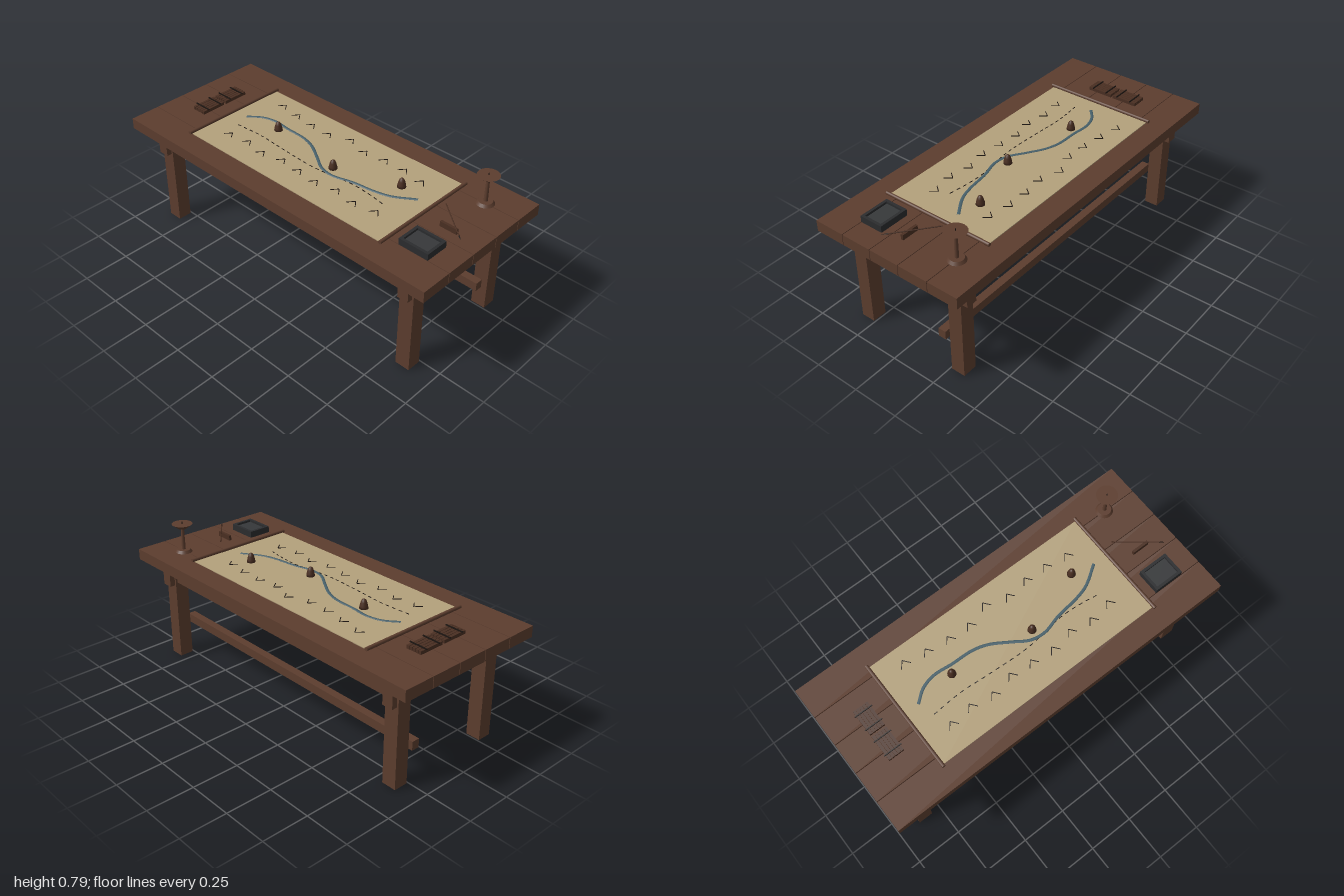
import * as THREE from 'three';

const mat = (name, color) => {
  const m = new THREE.MeshStandardMaterial({ color });
  m.name = name;
  return m;
};

export function createModel() {
  const root = new THREE.Group();
  root.name = 'mapTable';
  const wood = mat('wood', 0x5c3d2e);
  const darkWood = mat('darkWood', 0x4a2f22);
  const parchment = mat('parchment', 0xb3a17c);
  const ink = mat('ink', 0x1c1511);
  const water = mat('water', 0x47606a);
  const stone = mat('stone', 0x2b2c2e);
  const inkPool = mat('inkPool', 0x36383a);

  const add = (name, geo, material, x = 0, y = 0, z = 0, parent = root) => {
    const m = new THREE.Mesh(geo, material);
    m.name = name;
    m.position.set(x, y, z);
    parent.add(m);
    return m;
  };
  const box = (name, w, h, d, material, x, y, z, parent) =>
    add(name, new THREE.BoxGeometry(w, h, d), material, x, y, z, parent);
  const group = (name) => {
    const g = new THREE.Group();
    g.name = name;
    root.add(g);
    return g;
  };
  const lathe = (points, sides) =>
    new THREE.LatheGeometry(points.map(([r, y]) => new THREE.Vector2(r, y)), sides);
  // flat bar lying on the map between two points in x, z
  const stroke = (name, x1, z1, x2, z2, width, y, parent) => {
    const b = box(name, Math.hypot(x2 - x1, z2 - z1), 0.002, width, ink, (x1 + x2) / 2, y, (z1 + z2) / 2, parent);
    b.rotation.y = -Math.atan2(z2 - z1, x2 - x1);
  };

  // table top of five planks with narrow gaps
  const top = group('tableTop');
  for (let i = -2; i <= 2; i++) box('plank', 2, 0.06, 0.1685, wood, 0, 0.59, i * 0.172, top);

  // frame
  const frame = group('frame');
  for (const sx of [-1, 1]) {
    box('endRail', 0.06, 0.123, 0.73, wood, sx * 0.84, 0.4985, 0, frame);
    for (const sz of [-1, 1]) box('leg', 0.08, 0.56, 0.077, wood, sx * 0.84, 0.28, sz * 0.297, frame);
  }
  for (const sz of [-1, 1]) box('longApron', 1.62, 0.105, 0.05, wood, 0, 0.5075, sz * 0.3, frame);
  box('stretcher', 1.74, 0.048, 0.043, wood, 0, 0.181, -0.199, frame);

  // map sheet with a roller at each end
  box('mapSheet', 1.3, 0.004, 0.61, parchment, 0, 0.622, 0);
  for (const sx of [-1, 1]) {
    const r = add('mapRoller', new THREE.CylinderGeometry(0.0095, 0.0095, 0.634, 10), wood, sx * 0.655, 0.63, 0);
    r.rotation.x = Math.PI / 2;
  }

  // river
  const riverPoints = [
    [-0.57, -0.005], [-0.5, -0.058], [-0.42, -0.078], [-0.32, -0.07], [-0.2, -0.065], [-0.12, -0.042], [-0.02, 0.018],
    [0.06, 0.068], [0.14, 0.08], [0.25, 0.053], [0.38, 0.035], [0.46, 0.012], [0.57, -0.058],
  ];
  const riverCurve = new THREE.CatmullRomCurve3(riverPoints.map(([x, z]) => new THREE.Vector3(x, 0, z)));
  const river = add('river', new THREE.TubeGeometry(riverCurve, 70, 0.009, 6), water, 0, 0.624, 0);
  river.scale.y = 0.35;

  // mountain marks in two rows
  const marks = group('mountainMarks');
  const rows = [
    [-0.22, -0.2, -0.185, -0.18, -0.22, -0.185, -0.2, -0.2, -0.18],
    [0.172, 0.158, 0.178, 0.153, 0.163, 0.175, 0.153, 0.172, 0.153],
  ];
  for (const row of rows) {
    row.forEach((z, i) => {
      const x = (i - 4) * 0.124 - 0.005;
      for (const s of [-1, 1]) stroke('mountainStroke', x, z - 0.015, x + s * 0.028, z + 0.02, 0.004, 0.6248, marks);
    });
  }

  // dashed road
  const road = group('road');
  const roadCurve = new THREE.CatmullRomCurve3(
    [[-0.54, 0.082], [-0.38, 0.072], [-0.2, 0.083], [0, 0.092], [0.12, 0.083], [0.25, 0.065], [0.37, 0.07], [0.49, 0.087]]
      .map(([x, z]) => new THREE.Vector3(x, 0, z)));
  for (let i = 0; i < 25; i++) {
    const a = roadCurve.getPointAt(i / 25), b = roadCurve.getPointAt((i + 0.5) / 25);
    stroke('roadDash', a.x, a.z, b.x, b.z, 0.004, 0.6248, road);
  }

  // bell-shaped map markers
  const bell = lathe([[0, 0], [0.023, 0], [0.021, 0.014], [0.016, 0.034], [0.012, 0.044], [0.006, 0.05], [0, 0.052]], 14);
  for (const [x, z] of [[-0.35, -0.03], [0.1, 0.03], [0.445, -0.085]]) add('mapMarker', bell, darkWood, x, 0.623, z);

  // lamp stand: foot, stem, flared dish, wick
  const lamp = group('lamp');
  lamp.position.set(0.81, 0.62, -0.262);
  const foot = add('lampFoot', new THREE.CylinderGeometry(0.036, 0.046, 0.015, 20), wood, 0, 0.0075, 0, lamp);
  foot.material = wood;
  add('lampStem', new THREE.CylinderGeometry(0.0085, 0.0105, 0.122, 12), wood, 0, 0.074, 0, lamp);
  add('lampDish', new THREE.CylinderGeometry(0.056, 0.022, 0.026, 20), wood, 0, 0.147, 0, lamp);
  add('lampWick', new THREE.CylinderGeometry(0.0025, 0.0025, 0.012, 6), ink, 0, 0.165, 0, lamp);

  // brush lying across its rest
  box('brushRest', 0.095, 0.028, 0.014, darkWood, 0.812, 0.634, 0.02);
  const brush = group('brush');
  brush.position.set(0.806, 0.658, -0.01);
  brush.rotation.y = -Math.atan2(0.17, 0.215);
  const rod = add('brushHandle', new THREE.CylinderGeometry(0.003, 0.003, 0.25, 8), darkWood, 0, 0, 0, brush);
  rod.rotation.z = Math.PI / 2;
  const tip = add('brushTip', new THREE.ConeGeometry(0.004, 0.03, 8), ink, 0.135, 0, 0, brush);
  tip.rotation.z = -Math.PI / 2;

  // ink stone: slab with raised rim
  const tray = group('inkStone');
  tray.position.set(0.798, 0.62, 0.193);
  box('traySlab', 0.166, 0.02, 0.13, stone, 0, 0.01, 0, tray);
  for (const s of [-1, 1]) {
    box('trayRimLong', 0.166, 0.015, 0.015, stone, 0, 0.0275, s * 0.0575, tray);
    box('trayRimShort', 0.015, 0.015, 0.1, stone, s * 0.0755, 0.0275, 0, tray);
  }
  box('trayFloor', 0.136, 0.003, 0.1, inkPool, 0, 0.0215, 0, tray);

  // two bundles of slips tied with cords
  for (const z of [-0.092, 0.064]) {
    const bundle = group('slipBundle');
    bundle.position.set(-0.798, 0.62, z);
    for (let i = -2; i <= 2; i++) box('slip', 0.015, 0.018, 0.143, darkWood, i * 0.0175, 0.009, 0, bundle);
    for (const s of [-1, 1]) box('cord', 0.1, 0.006, 0.005, ink, 0, 0.021, s * 0.042, bundle);
  }

  return root;
}
